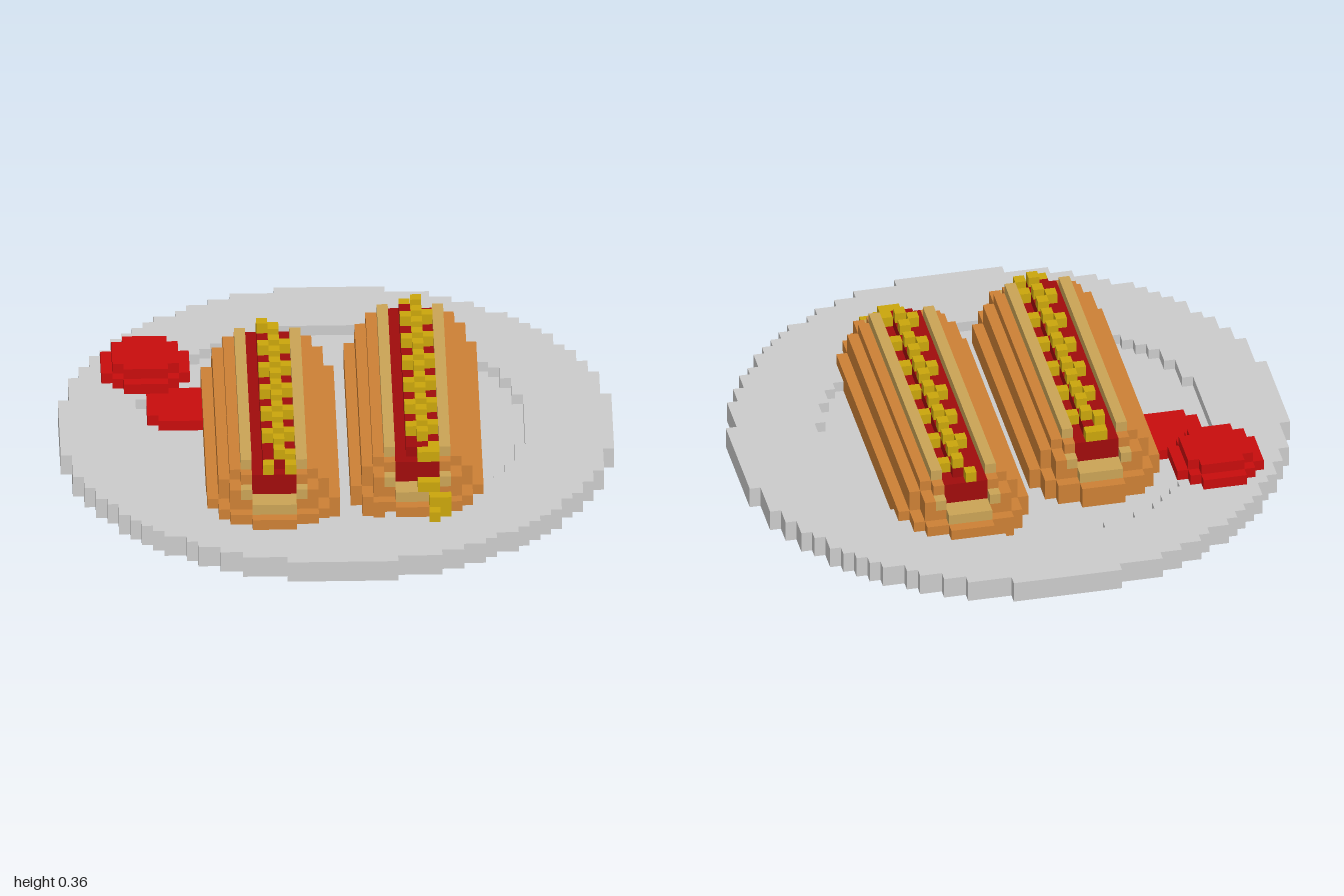
import * as THREE from 'three';

const S = 0.04; // edge of one cube
const material = (name, color) => Object.assign(new THREE.MeshStandardMaterial({ color }), { name });

export function createModel() {
  const mats = {
    plate: material('light grey', 0xcccccc),
    crust: material('crust orange', 0xcd8035),
    crumb: material('crumb tan', 0xcba456),
    sausage: material('dark red', 0xa00c0c),
    ketchup: material('bright red', 0xc80d0d),
    mustard: material('mustard yellow', 0xcba60c),
  };

  // Cube grid: each cell remembers which part and colour fills it
  const cells = new Map();
  const key = (x, y, z) => `${x},${y},${z}`;
  const put = (x, y, z, part, mat) => cells.set(key(x, y, z), { x, y, z, part, mat });

  // Fill a disc stretched along z: straight part runs from z0 + r to z1 - r
  const capsule = (cx, z0, z1, r, visit) => {
    for (let z = z0; z < z1; z++) {
      const dz = Math.max(z0 + r - (z + 0.5), z + 0.5 - (z1 - r), 0);
      for (let x = Math.floor(cx - r); x < cx + r; x++) {
        if (Math.hypot(x + 0.5 - cx, dz) < r) visit(x, z);
      }
    }
  };

  // Plate: foot, floor and raised rim around a shallow well
  capsule(0, -10, 10, 10, (x, z) => put(x, 0, z, 'plateFoot', 'plate'));
  capsule(0, -25, 25, 25, (x, z) => {
    put(x, 1, z, 'plate', 'plate');
    if (Math.hypot(x + 1, z + 1) >= 17.5) put(x, 2, z, 'plate', 'plate');
  });

  // Ketchup: dollop on the rim and a smear in the well
  capsule(-17, -14, -6, 4, (x, z) => put(x, 3, z, 'ketchupDollop', 'ketchup'));
  capsule(-17, -13, -7, 3, (x, z) => put(x, 4, z, 'ketchupDollop', 'ketchup'));
  for (let z = -7; z < -1; z++) {
    for (let x = z === -2 || z === -7 ? -16 : -17; x < -12; x++) {
      if (!cells.has(key(x, 2, z))) put(x, 2, z, 'ketchupSmear', 'ketchup');
    }
  }

  // One hot dog: bun layers, sausage in the slit, zigzag of mustard
  const hotDog = (side, cx, z0, z1, phase) => {
    const bun = side + 'Bun', sausage = side + 'Sausage', mustard = side + 'Mustard';
    [6, 6, 5, 5, 4, 3].forEach((r, i) => {
      const y = i + 2, inset = 6 - r;
      capsule(cx, z0 + inset, z1 - inset, r, (x, z) => {
        const d = Math.abs(x + 0.5 - cx);
        const atEnd = z < z0 + 3 || z >= z1 - 3;
        if (d < 2 && y >= 5) return; // slit
        const crumb = y === 7 || (y === 4 && d < 2) || (atEnd && y >= 5 && d < 3);
        put(x, y, z, bun, crumb ? 'crumb' : 'crust');
      });
    });
    const s0 = z0 + 3, s1 = z1 - 3;
    for (let z = s0; z < s1; z++) {
      const tip = z === s0 || z === s1 - 1;
      for (let d = -2; d < 2; d++) {
        put(cx + d, 5, z, sausage, 'sausage');
        put(cx + d, 6, z, sausage, 'sausage');
        if (!tip && (d === -1 || d === 0)) put(cx + d, 7, z, sausage, 'sausage');
      }
      const wave = [-1, 0, 1, 0][(((z + phase) % 4) + 4) % 4];
      put(cx + wave, tip || wave === 1 ? 7 : 8, z, mustard, 'mustard');
      if (tip) put(cx + (z === s0 ? -1 : 1), 7, z, mustard, 'mustard');
    }
  };
  hotDog('right', -6, -13, 19, 1);
  hotDog('left', 7, -17, 17, 2);

  // Mustard dripping off the front of one sausage
  [[7, 5, 15], [8, 5, 15], [8, 4, 16], [9, 4, 16], [8, 3, 17], [9, 3, 16]].forEach(
    ([x, y, z]) => put(x, y, z, 'mustardDrip', 'mustard'));

  // Emit only the exposed cube faces, grouped by part and colour
  const axes = [[1, 0, 0], [0, 1, 0], [0, 0, 1]];
  const faces = new Map();
  for (const { x, y, z, part, mat } of cells.values()) {
    const id = part + '|' + mat;
    if (!faces.has(id)) faces.set(id, { part, mat, pos: [] });
    const { pos } = faces.get(id);
    for (let a = 0; a < 3; a++) {
      for (const sign of [1, -1]) {
        const n = axes[a].map((v) => v * sign);
        if (cells.has(key(x + n[0], y + n[1], z + n[2]))) continue;
        const u = axes[(a + 1) % 3], v = axes[(a + 2) % 3];
        const corner = (p, q) => [x, y, z].map((c, k) =>
          (c + (sign > 0 ? axes[a][k] : 0) + p * u[k] + q * v[k]) * S);
        const loop = [corner(0, 0), corner(1, 0), corner(1, 1), corner(0, 1)];
        if (sign < 0) loop.reverse();
        for (const i of [0, 1, 2, 0, 2, 3]) pos.push(...loop[i]);
      }
    }
  }

  const model = new THREE.Group();
  model.name = 'hotDogPlate';
  for (const { part, mat, pos } of faces.values()) {
    const geo = new THREE.BufferGeometry();
    geo.setAttribute('position', new THREE.Float32BufferAttribute(pos, 3));
    geo.computeVertexNormals();
    const mesh = new THREE.Mesh(geo, mats[mat]);
    mesh.name = part.endsWith('Bun') ? part + (mat === 'crust' ? 'Crust' : 'Crumb') : part;
    model.add(mesh);
  }
  return model;
}
